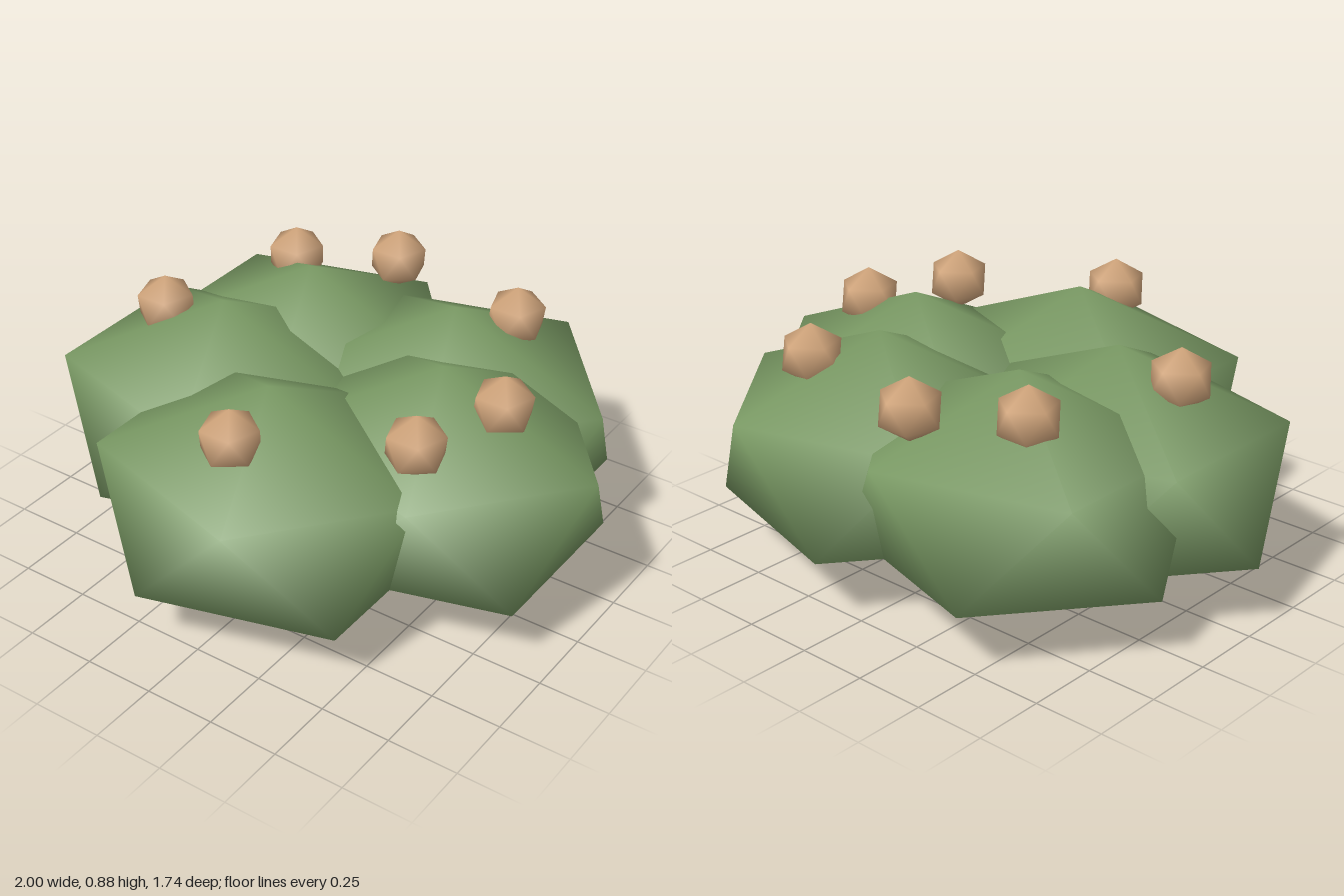
import * as THREE from 'three';
import { mergeVertices } from 'three/addons/utils/BufferGeometryUtils.js';

// Smooth-shaded 20-sided ball with one corner pointing straight up
function makeBall(rx, ry, rz, yaw = 0) {
  let geo = new THREE.IcosahedronGeometry(1, 0);
  geo.deleteAttribute('uv');
  geo.deleteAttribute('normal');
  geo = mergeVertices(geo, 1e-4);
  geo.rotateZ(-Math.atan(2 / (1 + Math.sqrt(5))));
  geo.rotateY(yaw);
  geo.scale(rx, ry, rz);
  geo.computeVertexNormals();
  return geo;
}

export function createModel() {
  const group = new THREE.Group();
  const leafMat = new THREE.MeshStandardMaterial({ color: 0x7a9a64 });
  const budMat = new THREE.MeshStandardMaterial({ color: 0xd2a67c });

  const add = (name, geo, mat, x, y, z) => {
    const mesh = new THREE.Mesh(geo, mat);
    mesh.name = name;
    mesh.position.set(x, y, z);
    group.add(mesh);
  };

  // Five overlapping, flattened foliage clumps in a ring
  const clumpGeo = makeBall(0.65, 0.42, 0.576);
  [[0.03, 0.38], [0.42, -0.04], [0.25, -0.385], [-0.32, -0.34], [-0.42, 0.03]]
    .forEach(([x, z], i) => add(`foliageClump${i + 1}`, clumpGeo, leafMat, x, 0.425, z));

  // Small round buds half sunk into the tops of the clumps
  const budGeo = makeBall(0.111, 0.109, 0.111, Math.PI / 10);
  [[0.05, 0.605], [0.54, 0.305], [0.645, -0.045], [0.39, -0.56],
    [-0.17, -0.675], [-0.485, -0.485], [-0.645, 0.065]]
    .forEach(([x, z], i) => add(`bud${i + 1}`, budGeo, budMat, x, 0.776, z));

  return group;
}
